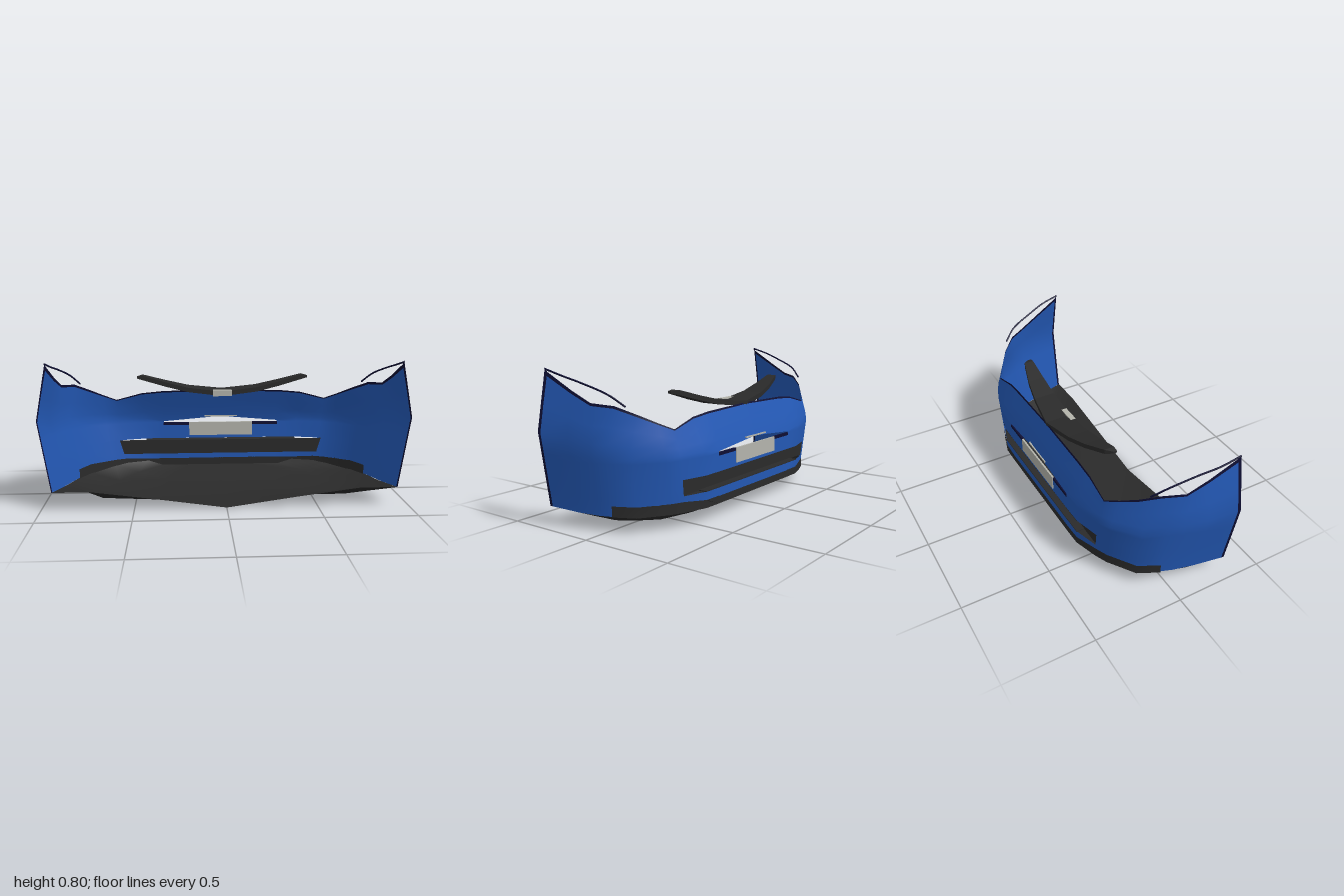
import * as THREE from 'three';

const mat = (name, color) => new THREE.MeshStandardMaterial({ name, color, side: THREE.DoubleSide });

// Surface through rows of points; keep(i, j) may leave cells open
function grid(rows, keep = () => true, flat = false) {
  const n = rows[0].length, index = [];
  for (let i = 0; i < rows.length - 1; i++)
    for (let j = 0; j < n - 1; j++) {
      if (!keep(i, j)) continue;
      const a = i * n + j, b = a + 1, c = a + n, d = c + 1;
      index.push(a, c, b, b, c, d);
    }
  let g = new THREE.BufferGeometry();
  g.setAttribute('position', new THREE.Float32BufferAttribute(rows.flat(2), 3));
  g.setIndex(index);
  if (flat) g = g.toNonIndexed();
  g.computeVertexNormals();
  return g;
}

const lerp = THREE.MathUtils.lerp;

// Height of the lower edge at depth z
const edgeY = z => z > -0.14 ? 0.08 + 0.02 * Math.max(0, (z - 0.1) / 0.21) : 0.08 + 0.04 * (-0.14 - z) / 0.17;

// Stations from the centre to one end: low [x,z], mid [x,z], widest height, top [x,y,z]
const half = [
  { low: [0, -0.31], mid: [0, -0.31], ym: 0.385, top: [0, 0.565, -0.24] },
  { low: [0.35, -0.31], mid: [0.35, -0.31], ym: 0.38, top: [0.35, 0.557, -0.24] },
  { low: [0.45, -0.305], mid: [0.47, -0.31], ym: 0.38, top: [0.48, 0.545, -0.24] },
  { low: [0.58, -0.265], mid: [0.62, -0.275], ym: 0.38, top: [0.63, 0.505, -0.245] },
  { low: [0.65, -0.235], mid: [0.70, -0.245], ym: 0.39, top: [0.70, 0.54, -0.2] },
  { low: [0.79, -0.14], mid: [0.83, -0.14], ym: 0.42, top: [0.78, 0.585, -0.14] },
  { low: [0.845, -0.03], mid: [0.89, -0.03], ym: 0.44, top: [0.85, 0.628, -0.06] },
  { low: [0.87, 0.04], mid: [0.925, 0.04], ym: 0.46, top: [0.905, 0.64, 0.04] },
  { low: [0.9, 0.15], mid: [0.962, 0.15], ym: 0.48, top: [0.922, 0.695, 0.15] },
  { low: [0.937, 0.297], mid: [0.997, 0.297], ym: 0.49, top: [0.937, 0.775, 0.297] },
  { low: [0.94, 0.31], mid: [1, 0.31], ym: 0.49, top: [0.94, 0.797, 0.31] },
];
const mirror = s => ({ low: [-s.low[0], s.low[1]], mid: [-s.mid[0], s.mid[1]], ym: s.ym, top: [-s.top[0], s.top[1], s.top[2]] });
const stations = [...half.slice(1).reverse().map(mirror), ...half];
const C = half.length - 1; // index of the centre station

function shellPoint(s, y) {
  if (y <= s.ym) {
    const t = Math.max(0, (y - 0.1) / (s.ym - 0.1));
    return [lerp(s.low[0], s.mid[0], t), y, lerp(s.low[1], s.mid[1], t)];
  }
  const t = (y - s.ym) / (s.top[1] - s.ym);
  return [lerp(s.mid[0], s.top[0], t), y, lerp(s.mid[1], s.top[2], t)];
}

export function createModel() {
  const group = new THREE.Group();
  const blue = mat('blue paint', 0x2358b4);
  const navy = mat('dark blue trim', 0x0e0e32);
  const dark = mat('dark plastic', 0x2a2a2a);
  const grey = mat('pale grey', 0xb4b4ac);

  const add = (name, geometry, material, x = 0, y = 0, z = 0) => {
    const m = new THREE.Mesh(geometry, material);
    m.name = name;
    m.position.set(x, y, z);
    group.add(m);
    return m;
  };
  const box = (name, w, h, d, material, x, y, z) => add(name, new THREE.BoxGeometry(w, h, d), material, x, y, z);

  // Bumper shell with openings for the grille and the slot above the plate
  const rows = stations.map((s, k) => {
    const ySlot = k === C ? 0.387 : Math.abs(k - C) === 1 ? 0.357 : 0.375;
    const heights = [edgeY(s.low[1]), 0.165, 0.25, 0.35, ySlot];
    for (const f of [0.27, 0.6, 0.95, 1]) heights.push(lerp(ySlot, s.top[1], f));
    return heights.map(y => shellPoint(s, y));
  });
  const near = (i, n) => i >= C - n && i < C + n;
  const open = (i, j) => (j === 1 && near(i, 3)) || (j === 3 && near(i, 1));
  const trim = (i, j) => j === 7 || i === 0 || i === rows.length - 2;
  add('bumperShell', grid(rows, (i, j) => !open(i, j) && !trim(i, j)), blue);
  add('edgeTrim', grid(rows, trim), navy);

  // Floor tray, dished towards the middle
  const depths = [0.31, 0.1, -0.03, -0.14, -0.235, -0.31];
  const widths = [0.94, 0.887, 0.845, 0.79, 0.65, 0.45];
  const floors = [0, 0, 0.015, 0.03, 0.055, 0.08];
  const cols = [-1, -0.78, -0.4, 0, 0.4, 0.78, 1];
  add('floorTray', grid(depths.map((z, k) => cols.map(c => {
    const a = Math.abs(c);
    const y = a === 1 ? edgeY(z) : k === 0 ? 0.1 * Math.min(1, a / 0.75) : floors[k];
    return [c * widths[k], y, z];
  }))), dark);

  // Lower lip around the outside, with a matching inner face
  const lipStations = stations.filter(s => s.low[1] < -0.02);
  for (const [name, k] of [['lowerLipOuter', 1.009], ['lowerLipInner', 0.99]])
    add(name, grid(lipStations.map(s => {
      const [x, z] = s.low, top = z < -0.29 ? 0.122 : 0.135;
      const zz = Math.max(-0.31, z * k);
      return [[x * k, 0.08, zz], [x * k, top, zz]];
    })), dark);

  // Recessed lower grille
  const panel = new THREE.Shape([[-0.595, 0.165], [0.595, 0.165], [0.62, 0.25], [-0.62, 0.25]].map(p => new THREE.Vector2(...p)));
  add('grillePanel', new THREE.ExtrudeGeometry(panel, { depth: 0.006, bevelEnabled: false }), dark, 0, 0, -0.262);
  for (const y of [0.167, 0.248]) box('grilleLedge', 0.92, 0.004, 0.05, dark, 0, y, -0.284);

  // Number plate and the slot trim
  box('plate', 0.39, 0.082, 0.01, grey, 0, 0.309, -0.309);
  box('plateTopEdge', 0.2, 0.008, 0.01, grey, 0, 0.389, -0.307);
  for (const s of [-1, 1]) box('slotLedge', 0.155, 0.016, 0.014, navy, s * 0.275, 0.342, -0.305);

  // Raised wing: straight inner edge, swept outer edge
  const wing = [[0, 0.56, -0.245], [0.2, 0.585, -0.215], [0.33, 0.618, -0.19], [0.465, 0.658, -0.15], [0.495, 0.66, -0.115]];
  const wingSections = [...wing.slice(1).reverse().map(([x, y, z]) => [-x, y, z]), ...wing];
  const loops = wingSections.map(([x, y, z]) => {
    const h = Math.abs(x) > 0.47 ? 0.006 : 0.013;
    return [[x, y - h, -0.095], [x, y + h, -0.095], [x, y + h, z], [x, y - h, z], [x, y - h, -0.095]];
  });
  const cap = l => l.map(() => l[0]);
  add('wing', grid([cap(loops[0]), ...loops, cap(loops[loops.length - 1])], undefined, true), dark);
  box('wingLatch', 0.11, 0.034, 0.03, grey, 0, 0.564, -0.106);

  // Thin arched rims over the side cut-outs
  const rim = [[0.94, 0.79, 0.31], [0.932, 0.762, 0.2], [0.905, 0.732, 0.1], [0.865, 0.68, -0.04], [0.825, 0.625, -0.11]];
  for (const s of [-1, 1]) {
    const curve = new THREE.CatmullRomCurve3(rim.map(([x, y, z]) => new THREE.Vector3(s * x, y, z)));
    add('sideRim', new THREE.TubeGeometry(curve, 16, 0.005, 5), navy);
  }
  return group;
}
